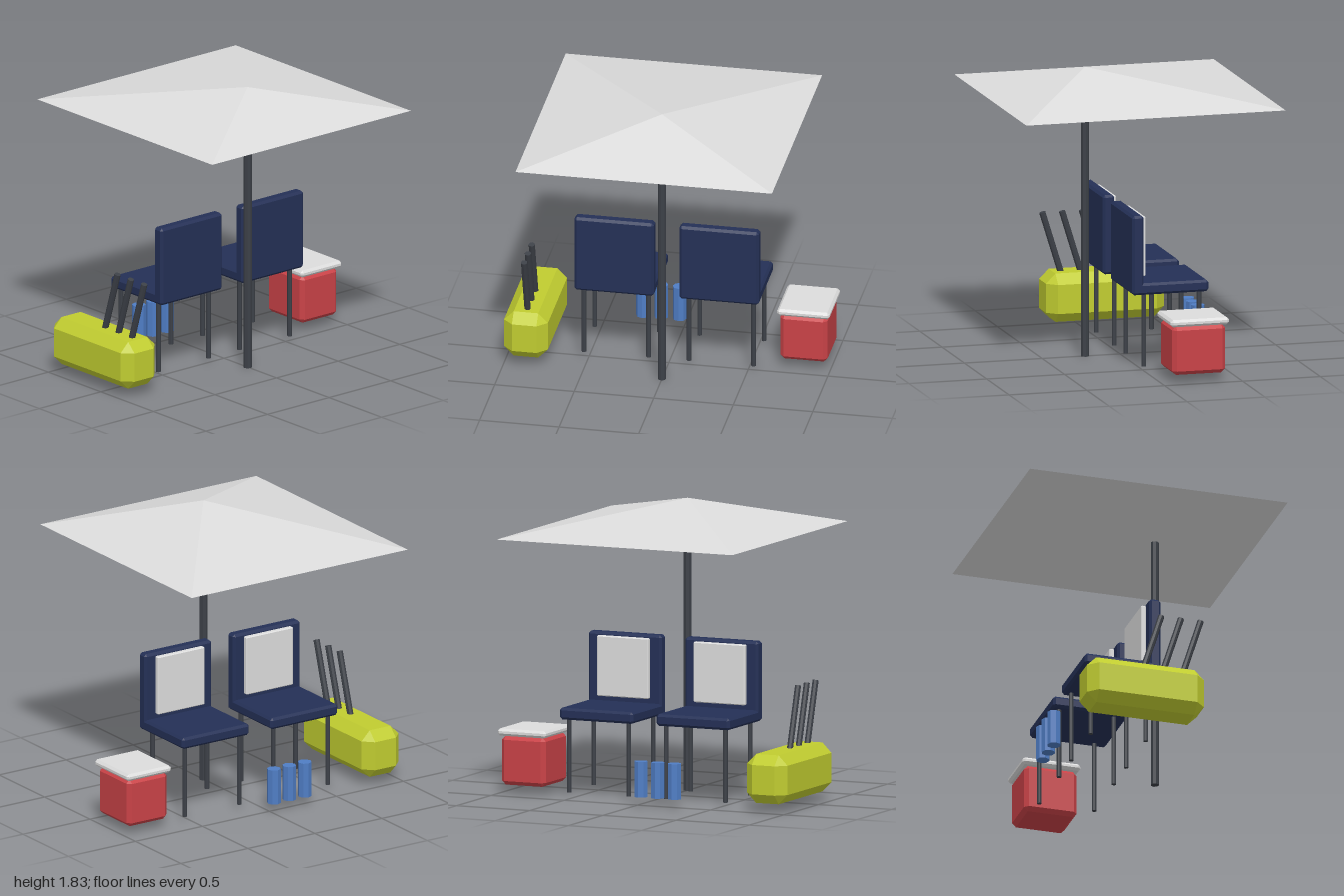
import * as THREE from 'three';
import { ConvexGeometry } from 'three/addons/geometries/ConvexGeometry.js';

const mat = (name, color) => {
  const m = new THREE.MeshStandardMaterial({ color });
  m.name = name;
  return m;
};

// Box given by its limits, with every edge cut by a flat chamfer
function chamferBox([x0, x1], [y0, y1], [z0, z1], c) {
  const h = new THREE.Vector3((x1 - x0) / 2, (y1 - y0) / 2, (z1 - z0) / 2);
  const points = [];
  for (const sx of [-1, 1]) for (const sy of [-1, 1]) for (const sz of [-1, 1]) {
    points.push(
      new THREE.Vector3(sx * h.x, sy * (h.y - c), sz * (h.z - c)),
      new THREE.Vector3(sx * (h.x - c), sy * h.y, sz * (h.z - c)),
      new THREE.Vector3(sx * (h.x - c), sy * (h.y - c), sz * h.z));
  }
  return new ConvexGeometry(points).translate((x0 + x1) / 2, (y0 + y1) / 2, (z0 + z1) / 2);
}

export function createModel() {
  const white = mat('offWhite', 0xdcdcdc);
  const dark = mat('darkMetal', 0x3c4047);
  const navy = mat('navyFabric', 0x243056);
  const lime = mat('limeFabric', 0xc0cc30);
  const red = mat('redPlastic', 0xc94247);
  const blue = mat('bluePlastic', 0x4f7dc4);
  for (const m of [dark, blue]) m.flatShading = true;

  const model = new THREE.Group();
  model.name = 'shadedSeating';
  const add = (parent, name, geometry, material) => {
    const mesh = new THREE.Mesh(geometry, material);
    mesh.name = name;
    parent.add(mesh);
    return mesh;
  };
  // Upright eight-sided post standing at x, z
  const post = (parent, name, r, y0, y1, x, z, material) =>
    add(parent, name, new THREE.CylinderGeometry(r, r, y1 - y0, 8), material)
      .position.set(x, (y0 + y1) / 2, z);

  // Canopy with its peak over the off-centre pole
  const corners = [[-1, -1], [1, -1], [1, 1], [-1, 1]]
    .map(([x, z]) => new THREE.Vector3(x * 0.833, 1.65, z * 0.806));
  add(model, 'canopy', new ConvexGeometry([...corners, new THREE.Vector3(0.225, 1.825, 0)]), white);
  post(model, 'canopyPole', 0.026, 0, 1.65, 0.225, 0, dark);

  // Two chairs facing -x
  for (const z of [0.33, -0.33]) {
    const chair = new THREE.Group();
    chair.name = z > 0 ? 'frontChair' : 'backChair';
    chair.position.z = z;
    add(chair, 'seat', chamferBox([-0.405, 0.085], [0.487, 0.56], [-0.25, 0.25], 0.015), navy);
    add(chair, 'backrest', chamferBox([0.01, 0.085], [0.487, 0.987], [-0.25, 0.25], 0.015), navy);
    add(chair, 'backPad', chamferBox([-0.02, 0.015], [0.59, 0.967], [-0.175, 0.175], 0.006), white);
    for (const x of [-0.355, 0]) for (const lz of [-0.203, 0.203])
      post(chair, 'leg', 0.015, 0.03, 0.495, x, lz, dark);
    model.add(chair);
  }

  // Duffel bag with three slanted rods
  const bag = new THREE.Group();
  bag.name = 'bagWithRods';
  add(bag, 'bag', chamferBox([-0.507, 0.25], [0.055, 0.36], [0.724, 1], 0.061), lime);
  for (let i = 0; i < 3; i++) {
    const rod = add(bag, 'rod', new THREE.CylinderGeometry(0.02, 0.02, 0.44, 8), dark);
    rod.position.set(-0.067 + i * 0.127, 0.525, 0.862);
    rod.rotation.z = -0.3;
  }
  model.add(bag);

  // Cooler box
  const cooler = new THREE.Group();
  cooler.name = 'cooler';
  add(cooler, 'coolerBody', chamferBox([-0.4, -0.06], [0.055, 0.362], [-0.983, -0.685], 0.025), red);
  add(cooler, 'coolerLid', chamferBox([-0.417, -0.043], [0.362, 0.407], [-1, -0.67], 0.015), white);
  model.add(cooler);

  // Row of bottles
  for (const z of [0.258, 0.143, 0.028]) post(model, 'bottle', 0.043, 0.055, 0.277, -0.508, z, blue);

  return model;
}
